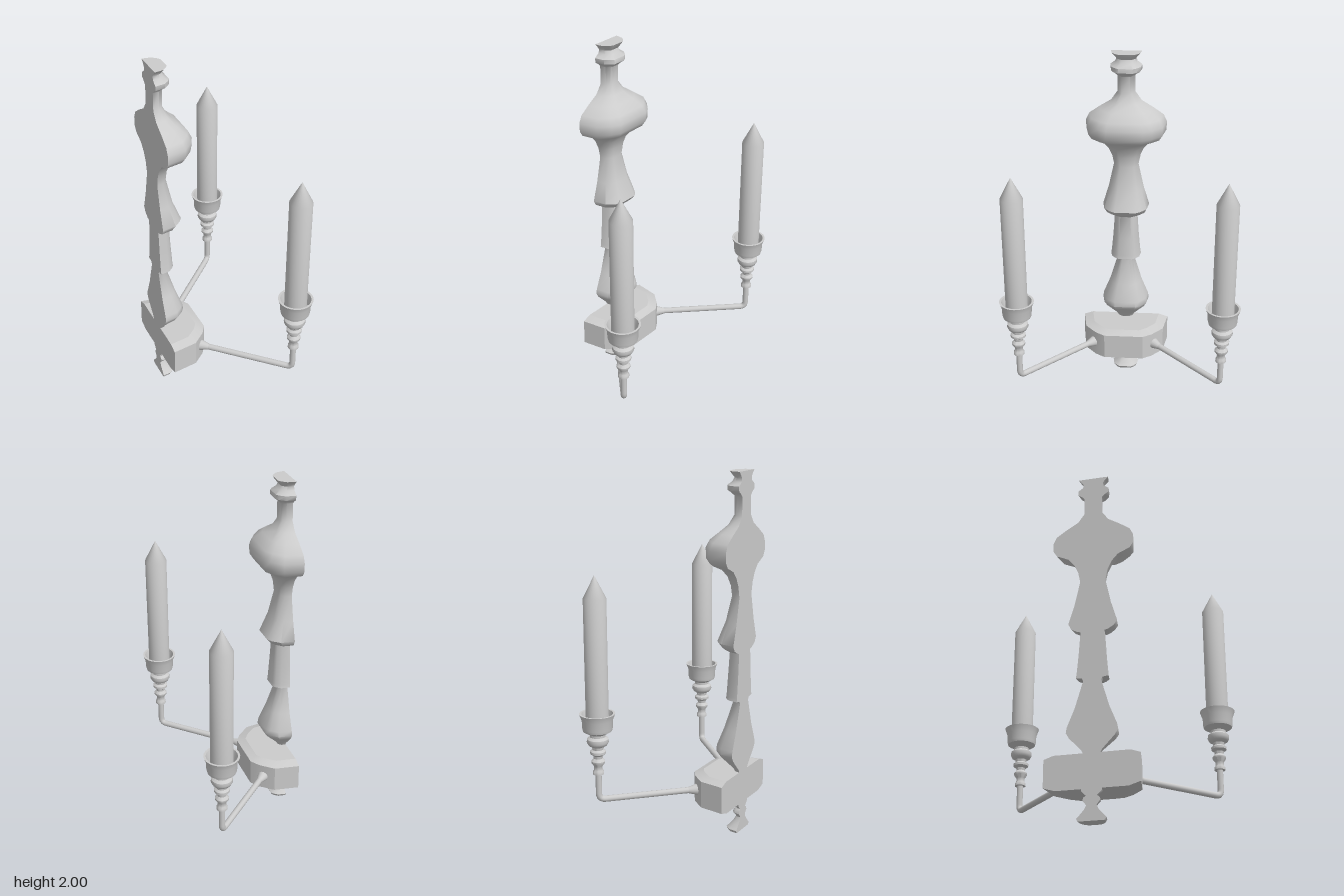
import * as THREE from 'three';
import { toCreasedNormals } from 'three/addons/utils/BufferGeometryUtils.js';

const BACK = -0.34; // plane of the flat wall side
const material = new THREE.MeshStandardMaterial({ color: 0xcccccc });

function part(name, geometry) {
  const mesh = new THREE.Mesh(geometry, material);
  mesh.name = name;
  return mesh;
}

// Half of a rounded octagon as [depth, half width], from +z round to -z
const quarter = [[0, 1], [0.57, 0.91], [0.86, 0.66], [1, 0.45]];
const outline = [...quarter, ...quarter.map(([x, z]) => [x, -z]).reverse()];

// Loft of half sections [y, depth, half width] going up, with flat back and ends
function halfTurned(sections, crease) {
  const n = outline.length, positions = [], index = [];
  for (const [y, depth, width] of sections)
    for (const [x, z] of outline) positions.push(BACK + x * depth, y, z * width);
  for (let i = 0; i < sections.length - 1; i++)
    for (let k = 0; k < n; k++) {
      const a = i * n + k, b = i * n + (k + 1) % n;
      index.push(a, b, b + n, a, b + n, a + n);
    }
  const top = (sections.length - 1) * n;
  for (let k = 1; k < n - 1; k++) {
    index.push(top, top + k, top + k + 1);
    index.push(0, k + 1, k);
  }
  const geometry = new THREE.BufferGeometry();
  geometry.setAttribute('position', new THREE.Float32BufferAttribute(positions, 3));
  geometry.setIndex(index);
  return toCreasedNormals(geometry, crease);
}

function turned(profile, segments = 24) {
  const points = profile.map(([r, y]) => new THREE.Vector2(r, y));
  return toCreasedNormals(new THREE.LatheGeometry(points, segments), 0.7);
}

// Arm, cup and candle on one side
function createBranch(side) {
  const branch = new THREE.Group();
  branch.name = side > 0 ? 'frontBranch' : 'backBranch';
  const x = 0.24, z = 0.565 * side, y = 0.263;

  // Arm running out diagonally and bending upwards
  const path = new THREE.CurvePath();
  const start = new THREE.Vector3(-0.15, y, 0.175 * side);
  const bendIn = new THREE.Vector3(x - 0.025, y, z - 0.025 * side);
  const corner = new THREE.Vector3(x, y, z);
  const bendOut = new THREE.Vector3(x, y + 0.035, z);
  path.add(new THREE.LineCurve3(start, bendIn));
  path.add(new THREE.QuadraticBezierCurve3(bendIn, corner, bendOut));
  path.add(new THREE.LineCurve3(bendOut, new THREE.Vector3(x, 0.43, z)));
  branch.add(part('arm', new THREE.TubeGeometry(path, 60, 0.017, 12)));

  // Flared collar where the arm meets the base
  const collar = part('armCollar', new THREE.CylinderGeometry(0.017, 0.034, 0.06, 14));
  const along = new THREE.Vector3(1, 0, side).normalize();
  collar.quaternion.setFromUnitVectors(new THREE.Vector3(0, 1, 0), along);
  collar.position.copy(start).addScaledVector(along, 0.025);
  branch.add(collar);

  // Turned stem with rings, opening into a hollow cup
  const holder = part('candleCup', turned([
    [0, 0.41], [0.03, 0.41], [0.03, 0.425], [0.023, 0.435], [0.023, 0.455],
    [0.037, 0.475], [0.037, 0.485], [0.024, 0.5], [0.026, 0.515], [0.042, 0.527],
    [0.042, 0.54], [0.03, 0.55], [0.032, 0.565], [0.05, 0.575], [0.059, 0.592],
    [0.057, 0.61], [0.042, 0.622], [0.042, 0.635], [0.077, 0.655], [0.081, 0.67],
    [0.083, 0.715], [0.096, 0.75], [0.084, 0.75], [0.074, 0.71], [0.07, 0.69], [0, 0.69],
  ]));
  const candle = part('candle', turned([[0, 0.69], [0.061, 0.69], [0.061, 1.37], [0, 1.49]]));
  for (const mesh of [holder, candle]) {
    mesh.position.set(x, 0, z);
    branch.add(mesh);
  }
  return branch;
}

export function createModel() {
  const model = new THREE.Group();
  model.name = 'wallCandleHolder';

  // Half-round baluster column
  model.add(part('column', halfTurned([
    [0.35, 0.04, 0.045], [0.37, 0.05, 0.055], [0.44, 0.115, 0.12], [0.47, 0.137, 0.137],
    [0.5, 0.133, 0.132], [0.6, 0.098, 0.092], [0.75, 0.055, 0.048], [0.765, 0.06, 0.055],
    [0.77, 0.09, 0.088], [0.79, 0.088, 0.084], [0.9, 0.082, 0.074], [1.035, 0.075, 0.065],
    [1.04, 0.08, 0.085], [1.06, 0.11, 0.118], [1.09, 0.135, 0.133], [1.2, 0.093, 0.1],
    [1.34, 0.064, 0.07], [1.4, 0.07, 0.082], [1.45, 0.085, 0.105], [1.49, 0.115, 0.14],
    [1.52, 0.165, 0.205], [1.55, 0.183, 0.224], [1.6, 0.186, 0.226], [1.64, 0.168, 0.207],
    [1.68, 0.125, 0.15], [1.72, 0.085, 0.085], [1.77, 0.06, 0.05], [1.87, 0.06, 0.05],
    [1.885, 0.075, 0.065], [1.9, 0.094, 0.086], [1.925, 0.094, 0.088], [1.945, 0.07, 0.06],
    [1.965, 0.06, 0.055], [1.985, 0.075, 0.07], [2, 0.083, 0.085],
  ], 0.9)));

  // Faceted block that carries the arms
  model.add(part('base', halfTurned([
    [0.165, 0.19, 0.19], [0.185, 0.245, 0.252], [0.335, 0.245, 0.252], [0.353, 0.2, 0.2],
  ], 0.3)));

  // Drop finial under the base
  model.add(part('finial', halfTurned([
    [0, 0.075, 0.07], [0.015, 0.082, 0.077], [0.03, 0.066, 0.062], [0.06, 0.044, 0.036],
    [0.08, 0.034, 0.027], [0.09, 0.038, 0.034], [0.105, 0.05, 0.046], [0.12, 0.046, 0.042],
    [0.13, 0.034, 0.028], [0.14, 0.04, 0.04], [0.155, 0.053, 0.053], [0.17, 0.053, 0.053],
  ], 0.9)));

  for (const side of [1, -1]) model.add(createBranch(side));
  return model;
}
